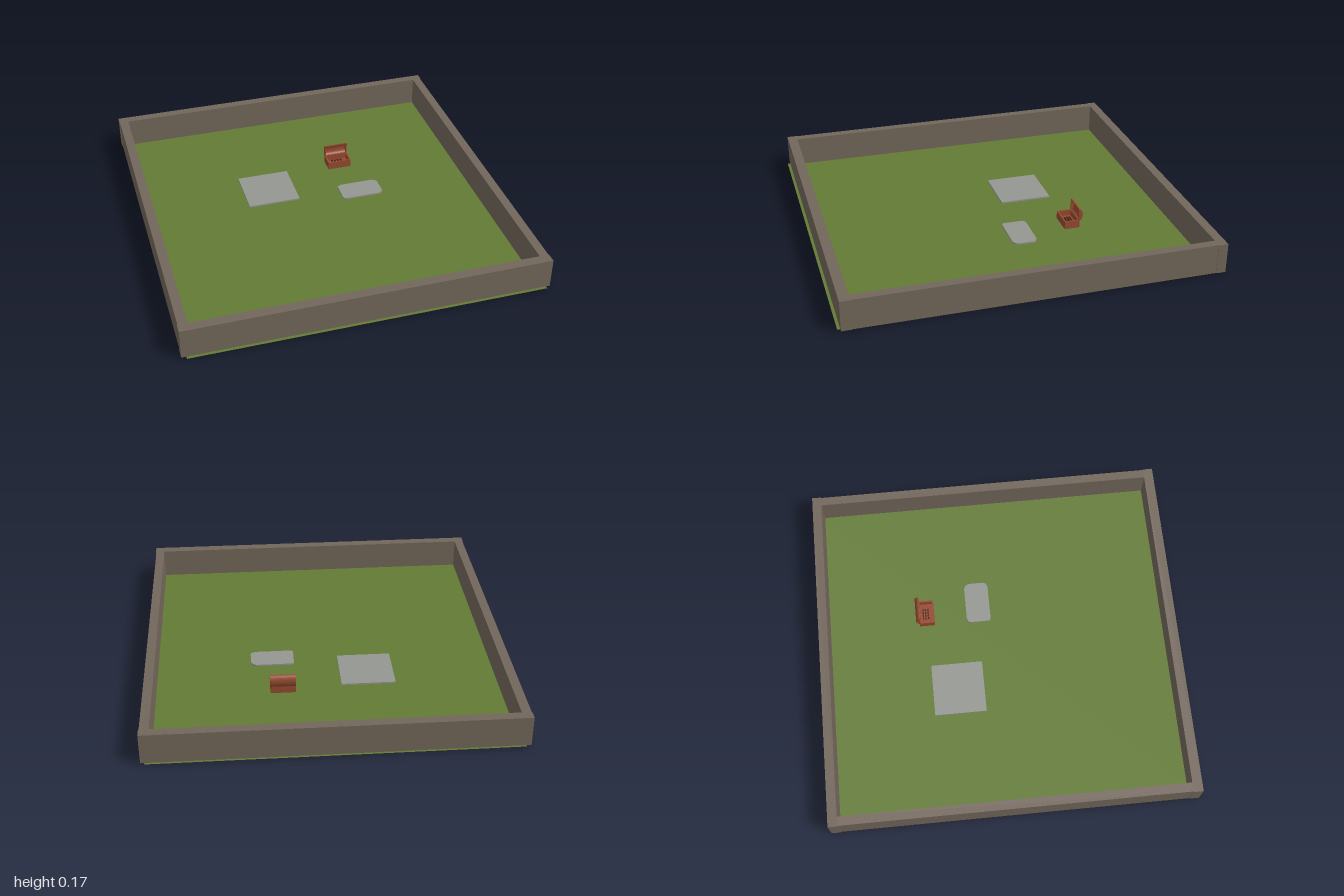
import * as THREE from 'three';

const mat = (name, color) => Object.assign(new THREE.MeshStandardMaterial({ color }), { name });

export function createModel() {
  const grass = mat('grass green', 0x627a34);
  grass.side = THREE.DoubleSide;
  const stone = mat('wall brown', 0x72665a);
  const slabGrey = mat('slab grey', 0x949692);
  slabGrey.side = THREE.DoubleSide;
  const wood = mat('chest red-brown', 0x95492f);
  const dark = mat('dark wood', 0x4a261b);

  const model = new THREE.Group();
  model.name = 'walledGarden';

  const add = (parent, name, geometry, material) => {
    const mesh = new THREE.Mesh(geometry, material);
    mesh.name = name;
    parent.add(mesh);
    return mesh;
  };
  // Box given by its limits on each axis
  const box = (parent, name, material, [x0, x1], [y0, y1], [z0, z1]) => {
    const mesh = add(parent, name, new THREE.BoxGeometry(x1 - x0, y1 - y0, z1 - z0), material);
    mesh.position.set((x0 + x1) / 2, (y0 + y1) / 2, (z0 + z1) / 2);
    return mesh;
  };

  // Lawn
  const lawn = new THREE.PlaneGeometry(1.87, 2).rotateX(-Math.PI / 2).translate(0, 0.006, 0);
  add(model, 'lawn', lawn, grass);

  // Perimeter walls
  const wallY = [0.007, 0.17];
  box(model, 'backWall', stone, [-0.96, 0.955], wallY, [-0.99, -0.94]);
  box(model, 'frontWall', stone, [-0.96, 0.955], wallY, [0.932, 0.985]);
  box(model, 'rightWall', stone, [-0.957, -0.908], wallY, [-0.94, 0.932]);
  box(model, 'leftWall', stone, [0.904, 0.952], wallY, [-0.94, 0.932]);

  // Paving slabs: an outline in x and z, raised, with the underside left open
  const slab = (name, outline) => {
    const shape = new THREE.Shape(outline.map(([x, z]) => new THREE.Vector2(x, -z)));
    const solid = new THREE.ExtrudeGeometry(shape, { depth: 0.015, bevelEnabled: false });
    solid.rotateX(-Math.PI / 2);
    const p = solid.attributes.position;
    const kept = [];
    for (let i = 0; i < p.count; i += 3) {
      if (Math.max(p.getY(i), p.getY(i + 1), p.getY(i + 2)) < 0.001) continue;
      for (let k = i; k < i + 3; k++) kept.push(p.getX(k), p.getY(k), p.getZ(k));
    }
    const shell = new THREE.BufferGeometry();
    shell.setAttribute('position', new THREE.Float32BufferAttribute(kept, 3));
    shell.computeVertexNormals();
    add(model, name, shell, slabGrey);
  };
  slab('largeSlab', [[-0.365, -0.105], [-0.075, -0.105], [-0.075, -0.39], [-0.365, -0.39]]);
  slab('smallSlab', [
    [0.165, -0.04], [0.18, -0.032], [0.375, -0.032], [0.392, -0.04], [0.4, -0.055],
    [0.4, -0.14], [0.39, -0.158], [0.372, -0.167], [0.185, -0.167], [0.165, -0.155],
  ]);

  // Open chest: hollow base
  const chest = new THREE.Group();
  chest.name = 'chest';
  model.add(chest);
  const X = [0.17, 0.305], Z = [-0.435, -0.35], Y = [0.006, 0.05], t = 0.008;
  box(chest, 'chestFloor', wood, X, [0.006, 0.018], Z);
  box(chest, 'chestFront', wood, X, Y, [Z[1] - t, Z[1]]);
  box(chest, 'chestBack', wood, X, Y, [Z[0], Z[0] + t]);
  for (const [name, x] of [['chestRightSide', X[0]], ['chestLeftSide', X[1] - t]])
    box(chest, name, wood, [x, x + t], Y, [Z[0] + t, Z[1] - t]);

  // Small pieces lying in the chest
  for (let i = 0; i < 4; i++)
    for (let j = 0; j < 3; j++) {
      const x = 0.205 + i * 0.017, z = -0.415 + j * 0.014;
      box(chest, 'chestContents', dark, [x, x + 0.01], [0.018, 0.025], [z, z + 0.008]);
    }

  // Barrel lid, standing open on the back edge
  const lidPart = (name, x, length, hollow) => {
    const shape = new THREE.Shape();
    shape.absellipse(0.43, 0.081, 0.022, 0.035, -Math.PI / 2, Math.PI / 2, false);
    if (hollow) shape.absellipse(0.43, 0.081, 0.016, 0.029, Math.PI / 2, -Math.PI / 2, true);
    const g = new THREE.ExtrudeGeometry(shape, { depth: length, bevelEnabled: false, curveSegments: 8 });
    g.rotateY(Math.PI / 2);
    add(chest, name, g, wood).position.x = x;
  };
  lidPart('lidBarrel', X[0] + t, X[1] - X[0] - 2 * t, true);
  lidPart('lidRightEnd', X[0], t, false);
  lidPart('lidLeftEnd', X[1] - t, t, false);

  return model;
}
